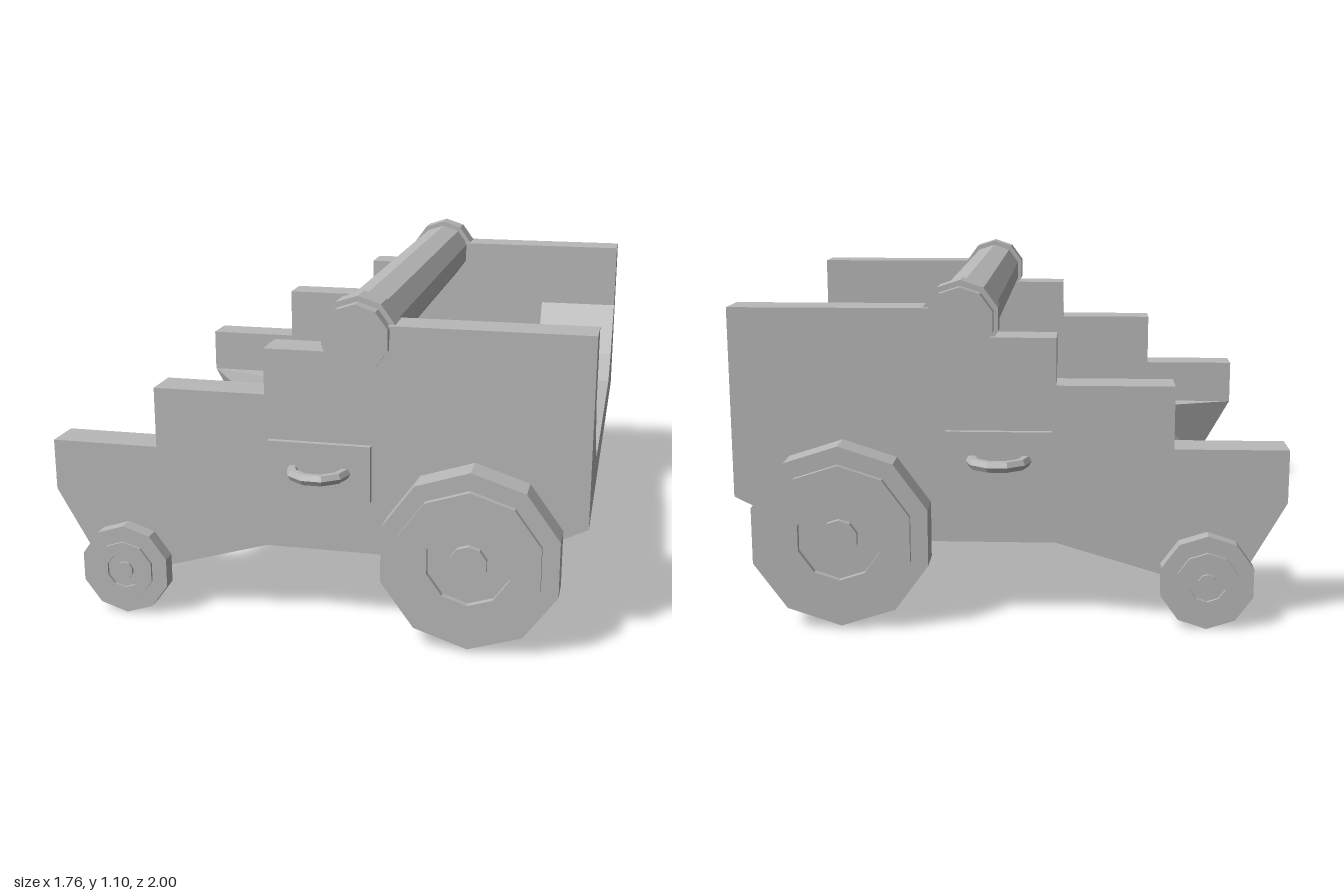
import * as THREE from 'three';

const grey = new THREE.MeshStandardMaterial({ color: 0xb8b8b8, flatShading: true });
grey.name = 'plain grey';

function add(parent, name, geometry, x = 0, y = 0, z = 0) {
  const mesh = new THREE.Mesh(geometry, grey);
  mesh.name = name;
  mesh.position.set(x, y, z);
  parent.add(mesh);
  return mesh;
}

function extrude(points, depth) {
  const shape = new THREE.Shape(points.map(([x, y]) => new THREE.Vector2(x, y)));
  return new THREE.ExtrudeGeometry(shape, { depth, bevelEnabled: false });
}

// Ten-sided turned shape along z, profile given as [radius, z]
function turned(profile) {
  const points = profile.map(([r, z]) => new THREE.Vector2(r, z));
  return new THREE.LatheGeometry(points, 10).rotateX(Math.PI / 2);
}

function rod(radius, length) {
  return turned([[0, -length / 2], [radius, -length / 2], [radius, length / 2], [0, length / 2]]);
}

// Wheel with a raised face, a recessed ring and a hub
function wheel(r, face, ring, hub, width, raise) {
  const top = width + raise;
  return turned([[0, 0], [r, 0], [r, width], [face, width], [face, top], [ring, top],
    [ring, width], [hub, width], [hub, top], [0, top]]);
}

// Floor slab lofted across z, with an arched, sloping front edge
function floorGeometry() {
  // z, upper front x, lower front x and y, underside x and y
  const stations = [
    [-0.75, -0.88, -0.74, 0.16, -0.52, 0.16],
    [-0.62, -0.52, -0.61, 0.26, -0.4, 0.265],
    [-0.49, -0.35, -0.52, 0.27, -0.35, 0.27],
    [0.35, -0.27, -0.48, 0.27, -0.3, 0.27],
    [0.49, -0.35, -0.52, 0.27, -0.35, 0.27],
    [0.62, -0.52, -0.61, 0.26, -0.4, 0.265],
    [0.75, -0.88, -0.74, 0.16, -0.52, 0.16],
  ];
  const n = 6;
  const positions = [];
  const index = [];
  stations.forEach(([z, ux, lx, ly, mx, my], s) => {
    const section = [[0.88, 0.41], [ux, 0.41], [lx, ly], [mx, my], [-0.15, 0.27], [0.6, 0.27]];
    section.forEach(([x, y], i) => {
      positions.push(x, y, z);
      if (s === stations.length - 1) return;
      const a = s * n + i;
      const b = s * n + (i + 1) % n;
      index.push(a, b, b + n, a, b + n, a + n);
    });
  });
  const g = new THREE.BufferGeometry();
  g.setAttribute('position', new THREE.Float32BufferAttribute(positions, 3));
  g.setIndex(index);
  g.computeVertexNormals();
  return g;
}

export function createModel() {
  const model = new THREE.Group();
  model.name = 'carriage';

  // Stepped side plates
  const side = extrude([
    [-0.88, 0.58], [-0.88, 0.41], [-0.74, 0.16], [-0.52, 0.16], [-0.15, 0.27], [0.6, 0.27],
    [0.88, 0.41], [0.88, 1.02], [0.18, 1.02], [0.18, 0.93], [-0.15, 0.93], [-0.15, 0.78],
    [-0.52, 0.78], [-0.52, 0.58],
  ], 0.13);
  add(model, 'leftSidePlate', side, 0, 0, 0.75);
  add(model, 'rightSidePlate', side, 0, 0, -0.88);

  // Floor and the hollowed end block
  add(model, 'floor', floorGeometry());
  const block = extrude([
    [-0.75, 0.41], [0.75, 0.41], [0.75, 0.78], [0.62, 0.6], [0.49, 0.52],
    [-0.49, 0.52], [-0.62, 0.6], [-0.75, 0.78],
  ], 0.3);
  add(model, 'endBlock', block.rotateY(Math.PI / 2), 0.58, 0, 0);

  // Cross roller and axles
  add(model, 'roller', rod(0.108, 1.81), 0.15, 0.98, 0);
  add(model, 'smallAxle', rod(0.03, 1.8), -0.63, 0.16, 0);
  add(model, 'largeAxle', rod(0.06, 1.8), 0.525, 0.31, 0);

  // Parts repeated on both sides
  for (const s of [1, -1]) {
    const turn = s > 0 ? 0 : Math.PI;
    const large = wheel(0.292, 0.235, 0.135, 0.06, 0.1, 0.02);
    add(model, 'largeWheel', large, 0.525, 0.31, s * 0.88).rotation.y = turn;
    const small = wheel(0.153, 0.1, 0.06, 0.03, 0.05, 0.01);
    add(model, 'smallWheel', small, -0.63, 0.16, s * 0.88).rotation.y = turn;

    add(model, 'rollerCollar', rod(0.123, 0.09), 0.15, 0.983, s * 0.815);
    add(model, 'smallAxleCollar', rod(0.048, 0.06), -0.63, 0.16, s * 0.82);
    add(model, 'largeAxleCollar', rod(0.072, 0.06), 0.525, 0.31, s * 0.82);

    add(model, 'handlePlate', new THREE.BoxGeometry(0.335, 0.185, 0.02), 0.03, 0.542, s * 0.89);
    const ring = new THREE.TorusGeometry(0.087, 0.019, 6, 10).rotateX(Math.PI / 2);
    add(model, 'handleRing', ring, 0.03, 0.542, s * 0.894);
  }
  return model;
}
